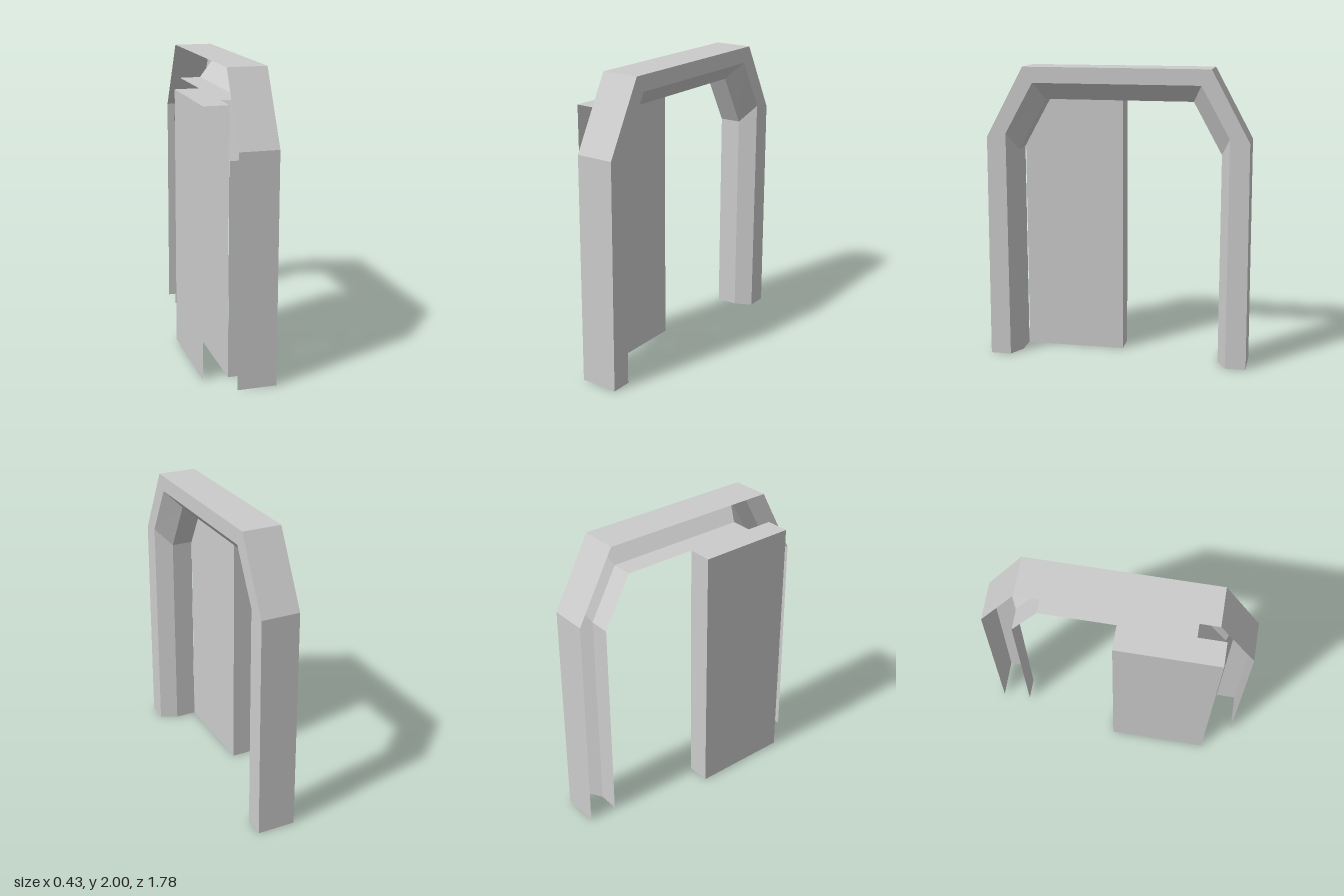
import * as THREE from 'three';

const material = new THREE.MeshStandardMaterial({
  color: 0xcccccc, flatShading: true, side: THREE.DoubleSide,
});

// One arch line at depth x: half of it is given as [z, y], the other half is mirrored
function archLine(x, half) {
  const mirrored = half.map(([z, y]) => [-z, y]).reverse();
  return [...half, ...mirrored].map(([z, y]) => [x, y, z]);
}

// Surface through consecutive lines of equal length
function loft(lines) {
  const n = lines[0].length;
  const index = [];
  for (let r = 0; r < lines.length - 1; r++) {
    for (let c = 0; c < n - 1; c++) {
      const a = r * n + c, b = a + n;
      index.push(a, b, b + 1, a, b + 1, a + 1);
    }
  }
  const geometry = new THREE.BufferGeometry();
  geometry.setAttribute('position', new THREE.Float32BufferAttribute(lines.flat(2), 3));
  geometry.setIndex(index);
  const flat = geometry.toNonIndexed();
  flat.computeVertexNormals();
  return flat;
}

// Door frame: outer skin, front face, bevel and inner jamb, open at the back and bottom
function createFrame() {
  const outer = [[0.89, 0], [0.88, 1.53], [0.625, 2]];
  const middle = [[0.75, 0], [0.75, 1.555], [0.56, 1.895]];
  const inner = [[0.69, 0], [0.69, 1.435], [0.5, 1.78]];
  const back = -0.047, front = 0.213, jamb = 0.1;
  const frame = new THREE.Mesh(loft([
    archLine(back, outer),
    archLine(front, outer),
    archLine(front, middle),
    archLine(jamb, inner),
    archLine(back, inner),
  ]), material);
  frame.name = 'doorFrame';
  return frame;
}

// Sliding door panel: a box shell without its bottom and its hidden +z end
function createDoor() {
  const geometry = new THREE.BoxGeometry(0.166, 1.78, 0.685);
  const faces = Array.from(geometry.index.array);
  geometry.setIndex([...faces.slice(0, 18), ...faces.slice(30, 36)]);
  geometry.clearGroups();
  const door = new THREE.Mesh(geometry, material);
  door.position.set(-0.13, 0.89, 0.3425);
  door.name = 'doorPanel';
  return door;
}

export function createModel() {
  const model = new THREE.Group();
  model.name = 'doorway';
  model.add(createFrame(), createDoor());
  return model;
}
